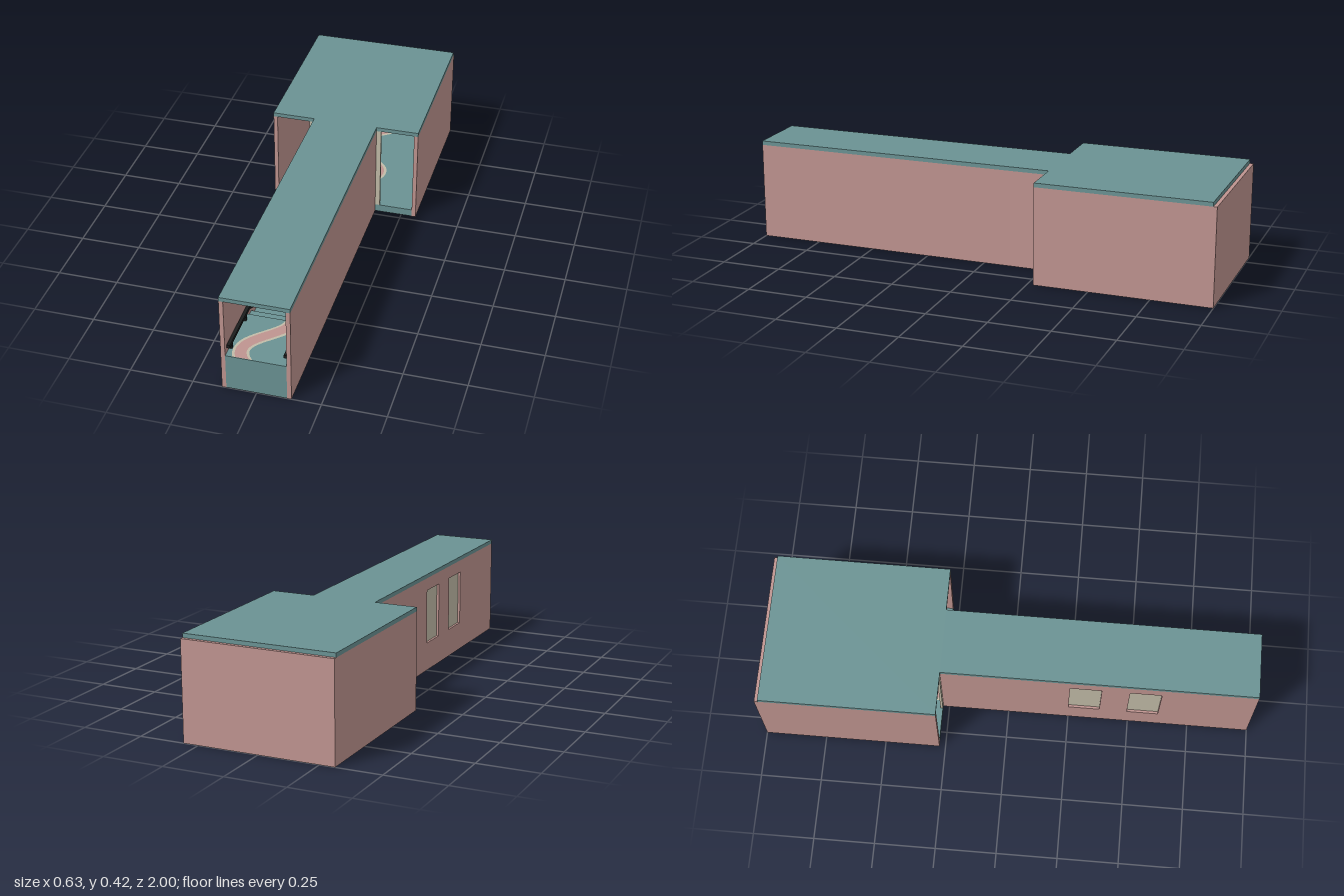
import * as THREE from 'three';

const mat = (name, color) => {
  const m = new THREE.MeshStandardMaterial({ color });
  m.name = name;
  return m;
};

export function createModel() {
  const root = new THREE.Group();
  root.name = 'corridorAndRoom';
  const teal = mat('teal', 0x6a9293);
  const pink = mat('dustyPink', 0xbf9490);
  const cream = mat('cream', 0xc2bca8);
  const glass = mat('darkGlass', 0x464a4c);
  const black = mat('railBlack', 0x1b1e1e);

  const add = (name, geo, m) => {
    const mesh = new THREE.Mesh(geo, m);
    mesh.name = name;
    root.add(mesh);
    return mesh;
  };
  // box given by its min and max corners
  const box = (name, m, x0, x1, y0, y1, z0, z1) => {
    const b = add(name, new THREE.BoxGeometry(x1 - x0, y1 - y0, z1 - z0), m);
    b.position.set((x0 + x1) / 2, (y0 + y1) / 2, (z0 + z1) / 2);
    return b;
  };

  const T = 0.017, CW = 0.135, RW = 0.313, JOIN = -0.275;
  const FLOOR = 0.033, LANDING = 0.153, CEIL = 0.403, TOP = 0.42;
  const CI = CW - T, RI = RW - T;

  // roof
  box('roomRoof', teal, -RW, RW, CEIL, TOP, -0.985, JOIN);
  box('corridorRoof', teal, -CW, CW, CEIL, TOP, JOIN, 1);

  // floors
  box('roomFloor', teal, -RI, RI, 0.001, FLOOR, -1 + T, JOIN);
  box('corridorFloor', teal, -CI, CI, 0.001, FLOOR, JOIN, 1);

  // landing and the steps going down from it
  const STAIR = 0.74, TREAD = 0.06, RISE = (LANDING - FLOOR) / 4;
  box('landing', teal, -CI, CI, FLOOR, LANDING, STAIR, 1);
  for (let i = 1; i < 4; i++) {
    box('step', teal, -CI, CI, FLOOR, LANDING - RISE * i, STAIR - TREAD * i, STAIR - TREAD * (i - 1));
  }

  // plain walls
  box('backWall', pink, -RW, RW, 0, CEIL, -1, -1 + T);
  for (const s of [-1, 1]) {
    const x = s * (RW - T / 2);
    box('roomSideWall', pink, x - T / 2, x + T / 2, 0, CEIL, -1 + T, JOIN);
  }
  box('corridorLeftWall', pink, CI, CW, 0, CEIL, JOIN, 1);

  // corridor wall with two window openings
  const wall = new THREE.Shape([[JOIN, 0], [1, 0], [1, CEIL], [JOIN, CEIL]].map(p => new THREE.Vector2(...p)));
  const WY0 = 0.12, WY1 = 0.35;
  const openings = [[0.248, 0.376], [0.49, 0.618]];
  for (const [a, b] of openings) {
    wall.holes.push(new THREE.Path([[a, WY0], [a, WY1], [b, WY1], [b, WY0]].map(p => new THREE.Vector2(...p))));
  }
  const rightWall = add('corridorRightWall', new THREE.ExtrudeGeometry(wall, { depth: T, bevelEnabled: false }), pink);
  rightWall.rotation.y = -Math.PI / 2;
  rightWall.position.x = -CI;
  for (const [a, b] of openings) {
    box('sideWindowPanel', cream, -CW + 0.01, -CI, WY0, WY1, a, b);
    // inner trim
    const xi = -CI + 0.004, e = 0.012;
    box('sideWindowTrim', cream, -CI, xi, WY1, WY1 + e, a - e, b + e);
    box('sideWindowTrim', cream, -CI, xi, WY0 - e, WY0, a - e, b + e);
    box('sideWindowTrim', cream, -CI, xi, WY0, WY1, a - e, a);
    box('sideWindowTrim', cream, -CI, xi, WY0, WY1, b, b + e);
  }

  // jambs where the corridor meets the room
  for (const s of [-1, 1]) {
    const x = s * 0.136;
    box('jamb', cream, x - 0.019, x + 0.019, FLOOR, CEIL, JOIN - 0.01, JOIN);
  }

  // wide window on the inside of the back wall
  const GX = 0.27, GY0 = 0.053, GY1 = 0.385, GZ = -1 + T;
  box('backWindowGlass', glass, -GX, GX, GY0, GY1, GZ, GZ + 0.003);
  const bar = (x0, x1, y0, y1) => box('backWindowBar', cream, x0, x1, y0, y1, GZ, GZ + 0.006);
  const h = 0.0016;
  for (let i = -3; i <= 3; i++) bar(i * 0.09 - h, i * 0.09 + h, GY0, GY1);
  for (const y of [GY0, 0.163, 0.273, GY1]) bar(-GX, GX, y - h, y + h);

  // winding path laid on the floor: cream edging with a pink band on it
  const centre = z => (z > JOIN ? 0.07 : 0.09) * Math.cos((2 * Math.PI * (z + 0.52)) / 0.42);
  const ribbon = (name, m, z0, z1, y, half, limit) => {
    const left = [], right = [], n = 60;
    for (let i = 0; i <= n; i++) {
      const z = z0 + ((z1 - z0) * i) / n;
      const slope = (centre(z + 0.001) - centre(z - 0.001)) / 0.002;
      const w = half * Math.sqrt(1 + slope * slope);
      const c = x => THREE.MathUtils.clamp(x, -limit, limit);
      left.push(new THREE.Vector2(c(centre(z) - w), -z));
      right.push(new THREE.Vector2(c(centre(z) + w), -z));
    }
    const geo = new THREE.ShapeGeometry(new THREE.Shape([...left, ...right.reverse()]));
    const r = add(name, geo.rotateX(-Math.PI / 2), m);
    r.position.y = y;
  };
  for (const [z0, z1, y, limit] of [
    [STAIR, 0.999, LANDING, CI],
    [JOIN, STAIR - TREAD * 3, FLOOR, CI],
    [-0.95, JOIN - 0.001, FLOOR, RI],
  ]) {
    ribbon('pathEdging', cream, z0, z1, y + 0.001, 0.032, limit);
    ribbon('pathBand', pink, z0, z1, y + 0.002, 0.022, limit);
  }

  // handrails: level over the landing, then down beside the steps
  for (const s of [-1, 1]) {
    const x = s * (CI - 0.008);
    const pts = [[0.185, 0.985], [0.185, STAIR], [0.075, STAIR - TREAD * 3.5]];
    for (let i = 0; i < 2; i++) {
      const [ya, za] = pts[i], [yb, zb] = pts[i + 1];
      const rail = add('handrail', new THREE.BoxGeometry(0.013, 0.014, Math.hypot(yb - ya, zb - za)), black);
      rail.position.set(x, (ya + yb) / 2, (za + zb) / 2);
      rail.rotation.x = Math.atan2(yb - ya, za - zb);
    }
    for (const z of [0.95, 0.78]) box('railBracket', black, x - 0.005, x + 0.005, LANDING, 0.185, z - 0.005, z + 0.005);
  }

  // ceiling lamps
  for (const z of [0.7, 0.25, -0.2, -0.63]) {
    const base = add('lampBase', new THREE.CylinderGeometry(0.017, 0.017, 0.004, 24), cream);
    base.position.set(0, CEIL - 0.002, z);
    const dome = add('lampDome', new THREE.SphereGeometry(0.015, 24, 8, 0, Math.PI * 2, Math.PI / 2, Math.PI / 2), cream);
    dome.scale.y = 0.8;
    dome.position.set(0, CEIL - 0.004, z);
  }
  return root;
}
